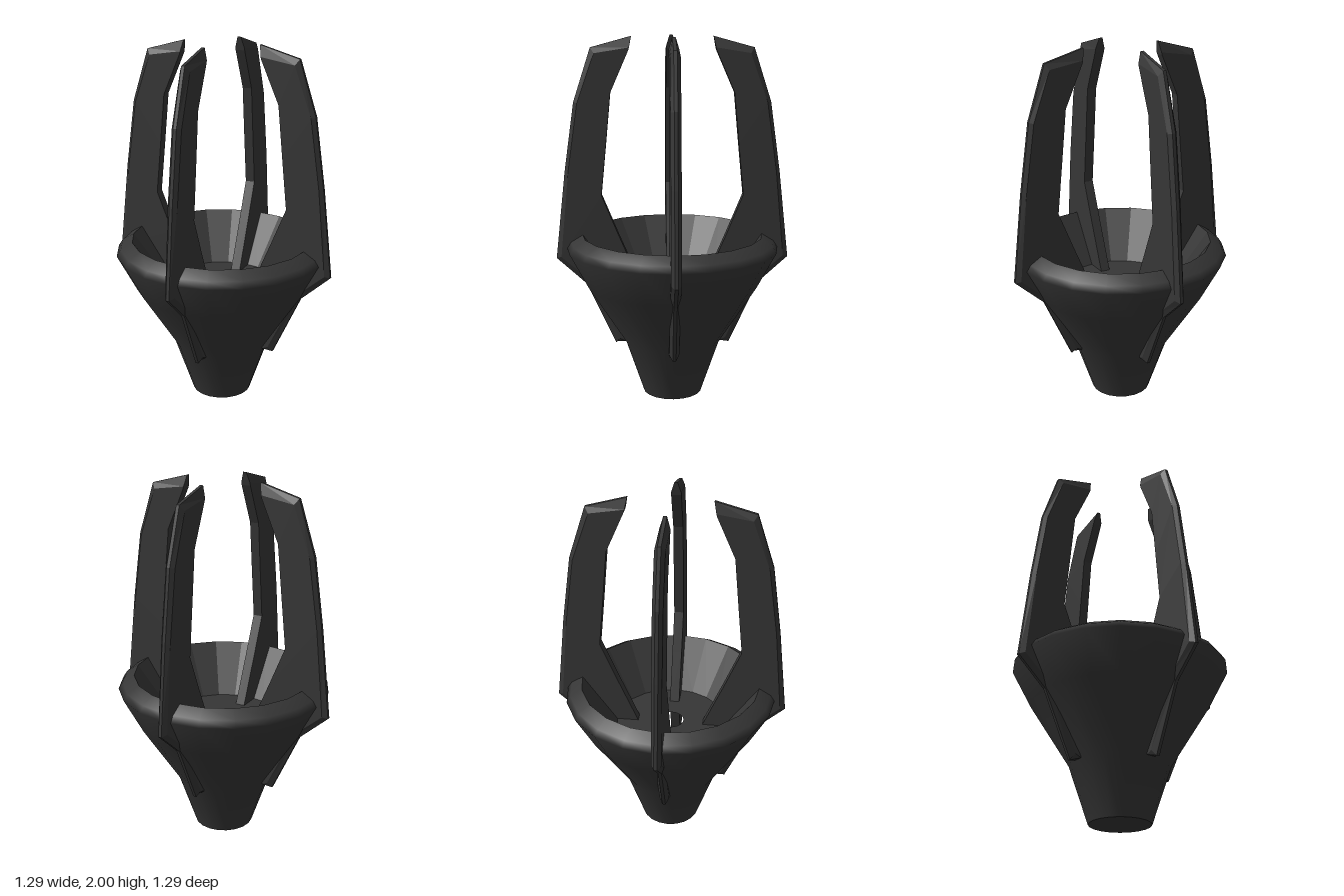
import * as THREE from 'three';

const SIDES = 20;

// Arm stations from tip to foot: [ridge], [shoulder], [inner edge] as (radius, height)
const ARM = [
  [[0.22, 2.0], [0.232, 1.94], [0.236, 1.925]],
  [[0.44, 1.94], [0.42, 1.91], [0.335, 1.7]],
  [[0.535, 1.65], [0.515, 1.645], [0.362, 1.42]],
  [[0.59, 1.27], [0.57, 1.27], [0.39, 1.14]],
  [[0.645, 0.785], [0.617, 0.795], [0.3, 0.92]],
  [[0.48, 0.635], [0.462, 0.66], [0.185, 0.65]],
  [[0.32, 0.285], [0.298, 0.315], [0.265, 0.3]],
];
const RIDGE = 0.009, HALF = 0.027;

// Skins the six-sided, outer-bevelled sections into one closed blade
function armGeometry() {
  const rings = ARM.map(([o, s, i]) => [
    [...o, RIDGE], [...s, HALF], [...i, HALF],
    [...i, -HALF], [...s, -HALF], [...o, -RIDGE],
  ]);
  const pos = [];
  const tri = (a, b, c) => pos.push(...a, ...b, ...c);
  for (let r = 0; r < rings.length - 1; r++) {
    for (let k = 0; k < 6; k++) {
      const n = (k + 1) % 6, p = rings[r], q = rings[r + 1];
      tri(p[k], p[n], q[n]);
      tri(p[k], q[n], q[k]);
    }
  }
  const tip = rings[0], foot = rings[rings.length - 1];
  for (let k = 1; k < 5; k++) {
    tri(tip[0], tip[k + 1], tip[k]);
    tri(foot[0], foot[k], foot[k + 1]);
  }
  const g = new THREE.BufferGeometry();
  g.setAttribute('position', new THREE.Float32BufferAttribute(pos, 3));
  g.computeVertexNormals();
  return g;
}

function lathe(points) {
  return new THREE.LatheGeometry(points.map(([r, y]) => new THREE.Vector2(r, y)), SIDES);
}

export function createModel() {
  const group = new THREE.Group();
  const dark = new THREE.MeshStandardMaterial({ color: 0x363636 });
  dark.name = 'charcoal';

  const add = (name, geometry) => {
    const mesh = new THREE.Mesh(geometry, dark);
    mesh.name = name;
    group.add(mesh);
    return mesh;
  };

  // Smooth outer cup with a rounded rim
  add('cup', lathe([[0.165, 0], [0.27, 0.31], [0.48, 0.64], [0.588, 0.845], [0.565, 0.88], [0.5, 0.92]]));

  // Faceted bowl inside the cup
  const bowl = lathe([[0.5, 0.92], [0.31, 0.65]]).toNonIndexed();
  bowl.computeVertexNormals();
  add('bowlWall', bowl);

  // Bowl floor with a round hole
  const floor = new THREE.Shape();
  for (let i = 0; i < SIDES; i++) {
    const a = (i / SIDES) * Math.PI * 2;
    floor[i ? 'lineTo' : 'moveTo'](0.31 * Math.cos(a), 0.31 * Math.sin(a));
  }
  floor.closePath();
  floor.holes.push(new THREE.Path().absarc(0, 0, 0.073, 0, Math.PI * 2, true));
  add('bowlFloor', new THREE.ShapeGeometry(floor, 16).rotateX(-Math.PI / 2).translate(0, 0.65, 0));

  // Underside
  add('base', new THREE.CircleGeometry(0.165, SIDES).rotateX(Math.PI / 2));

  // Four prongs around the cup
  const arm = armGeometry();
  for (let k = 0; k < 4; k++) {
    add('prong' + (k + 1), arm).rotation.y = (k * Math.PI) / 2;
  }
  return group;
}
